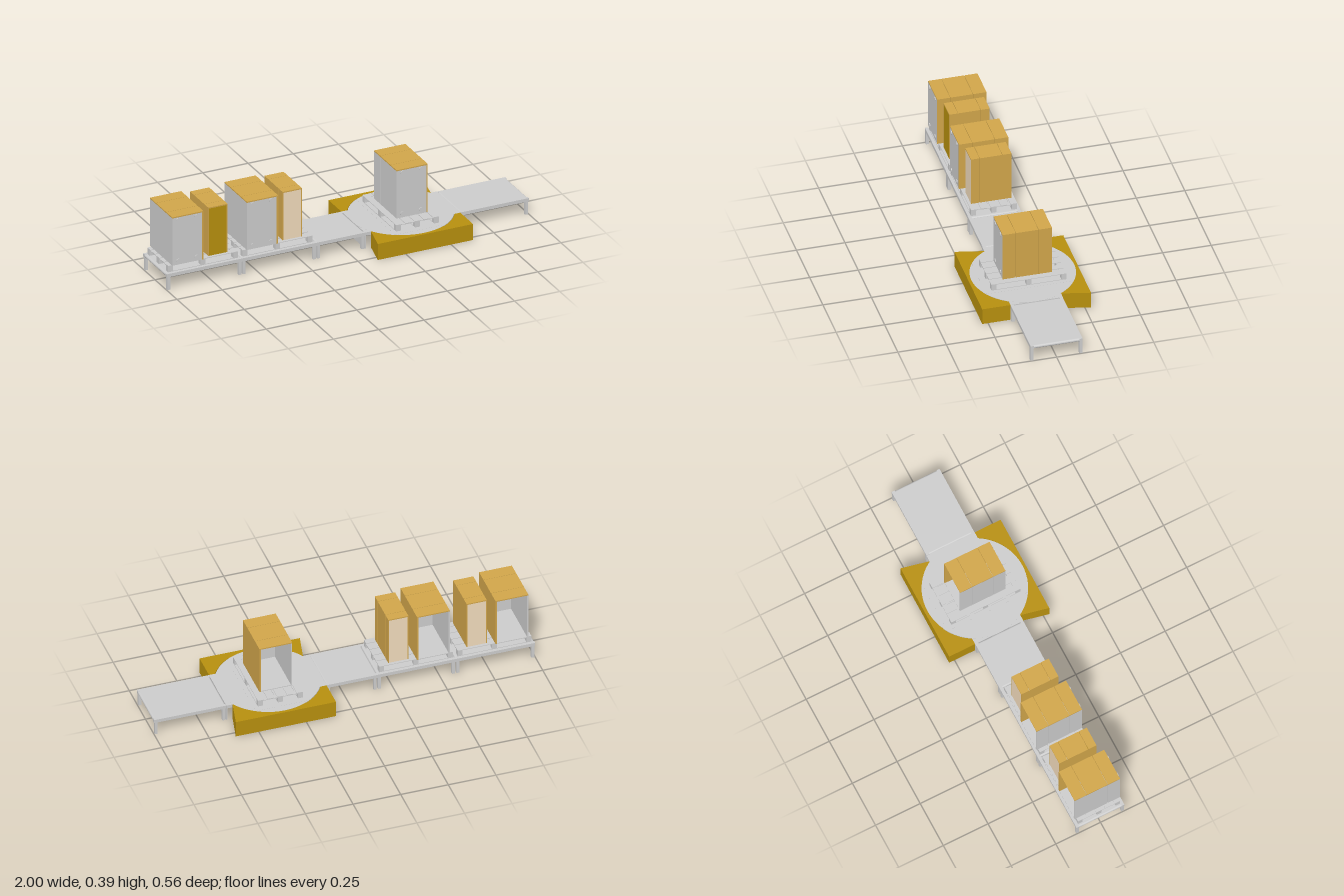
import * as THREE from 'three';

const mat = (color) => new THREE.MeshStandardMaterial({ color });
const GREY = mat(0xcccccc), WOOD = mat(0xd0a54a), YELLOW = mat(0xb68f0e), TAN = mat(0xf0dabb);

function group(name, parent) {
  const g = new THREE.Group();
  g.name = name;
  if (parent) parent.add(g);
  return g;
}

function add(parent, name, geometry, material = GREY) {
  const m = new THREE.Mesh(geometry, material);
  m.name = name;
  parent.add(m);
  return m;
}

// Box given by its min and max on each axis
function box(parent, name, [x0, x1], [y0, y1], [z0, z1], material) {
  const g = new THREE.BoxGeometry(x1 - x0, y1 - y0, z1 - z0);
  g.translate((x0 + x1) / 2, (y0 + y1) / 2, (z0 + z1) / 2);
  return add(parent, name, g, material);
}

const DECK = 0.088, RAIL = 0.07;

// Belt with round ends between two side rails, on corner legs
function conveyor(parent, x0, x1) {
  const g = group('conveyor', parent);
  const r = (DECK - RAIL) / 2, half = (x1 - x0) / 2 - r;
  const s = new THREE.Shape();
  s.absarc(half, 0, r, -Math.PI / 2, Math.PI / 2, false);
  s.absarc(-half, 0, r, Math.PI / 2, Math.PI * 1.5, false);
  const belt = new THREE.ExtrudeGeometry(s, { depth: 0.236, bevelEnabled: false, curveSegments: 10 });
  belt.translate((x0 + x1) / 2, RAIL + r, -0.118);
  add(g, 'belt', belt);
  for (const side of [-1, 1]) {
    const z = side > 0 ? [0.118, 0.134] : [-0.134, -0.118];
    box(g, 'sideRail', [x0, x1], [RAIL, DECK], z);
    box(g, 'leg', [x0 + 0.004, x0 + 0.019], [0, RAIL], z);
    box(g, 'leg', [x1 - 0.019, x1 - 0.004], [0, RAIL], z);
  }
}

// Block pallet, long along x
function pallet(parent, x, turned) {
  const g = group('pallet', parent);
  const L = 0.193, W = 0.118, b = 0.013;
  for (const z of [-W + b, 0, W - b]) {
    box(g, 'bottomBoard', [-L, L], [0.089, 0.092], [z - b, z + b]);
    for (const bx of [-L + b, 0, L - b])
      box(g, 'block', [bx - b, bx + b], [0.092, 0.118], [z - b, z + b]);
  }
  for (const bx of [-L + b, 0, L - b])
    box(g, 'crossBoard', [bx - b, bx + b], [0.118, 0.121], [-W, W]);
  for (let i = 0; i < 5; i++) {
    const z = -W + 0.016 + i * 0.051;
    box(g, 'topBoard', [-L, L], [0.121, 0.124], [z - 0.016, z + 0.016]);
  }
  g.position.x = x;
  if (turned) g.rotation.y = Math.PI / 2;
}

const Y0 = 0.125, Y1 = 0.391;
// Slab split into three strips along z with fine gaps
function strips(parent, name, x, y, depth, material) {
  const cuts = [-depth, -0.058, 0.059, depth];
  for (let i = 0; i < 3; i++)
    box(parent, name, x, y, [cuts[i] + (i ? 0.001 : 0), cuts[i + 1] - (i < 2 ? 0.001 : 0)], material);
}

// Wide cabinet: bolted grey front, open back
function cabinet(parent, x) {
  const g = group('cabinet', parent);
  const W = 0.086, D = 0.127, top = Y1 - 0.006;
  strips(g, 'topPanel', [-W, W], [top, Y1], D, WOOD);
  strips(g, 'woodSide', [W - 0.008, W], [Y0, top], D, WOOD);
  strips(g, 'greySide', [-W, -W + 0.006], [Y0, top], D, GREY);
  box(g, 'frontPanel', [-W + 0.006, W - 0.008], [Y0, top], [D - 0.006, D]);
  box(g, 'floorPanel', [-W + 0.006, W - 0.008], [Y0, Y0 + 0.004], [-D, D - 0.006]);
  for (const bx of [-0.054, 0.048]) for (const by of [0.147, 0.372]) {
    const bolt = new THREE.CylinderGeometry(0.011, 0.011, 0.004, 12);
    bolt.rotateX(Math.PI / 2);
    bolt.translate(bx, by, D + 0.002);
    add(g, 'bolt', bolt);
  }
  g.position.x = x;
}

// Narrow closed cabinet with pale ends
function narrowCabinet(parent, x, frontMaterial) {
  const g = group('narrowCabinet', parent);
  const W = 0.053, D = 0.104, top = Y1 - 0.006;
  strips(g, 'topPanel', [-W, W], [top, Y1], D, WOOD);
  strips(g, 'sidePanel', [W - 0.005, W], [Y0, top], D, WOOD);
  strips(g, 'sidePanel', [-W, -W + 0.005], [Y0, top], D, WOOD);
  box(g, 'frontPanel', [-W + 0.005, W - 0.005], [Y0, top], [D - 0.005, D], frontMaterial);
  box(g, 'backPanel', [-W + 0.005, W - 0.005], [Y0, top], [-D, -D + 0.005], TAN);
  g.position.x = x;
}

// Round turning deck between two yellow housings
function turntable(parent, x) {
  const g = group('turntable', parent);
  const W = 0.263, R = 0.267, Z = 0.135, a = Math.asin(Z / R);
  const s = new THREE.Shape();
  s.moveTo(-W, Z);
  s.absarc(0, 0, R, Math.PI - a, a, true);
  s.lineTo(W, Z);
  s.lineTo(W, 0.28);
  s.lineTo(-W, 0.28);
  s.closePath();
  const housing = new THREE.ExtrudeGeometry(s, { depth: DECK, bevelEnabled: false, curveSegments: 40 });
  housing.rotateX(Math.PI / 2);
  housing.translate(0, DECK, 0);
  for (const turn of [0, Math.PI])
    add(g, 'housing', housing, YELLOW).rotation.y = turn;

  const disc = new THREE.CylinderGeometry(R - 0.002, R - 0.002, 0.018, 64);
  disc.translate(0, 0.0795, 0);
  add(g, 'disc', disc);
  box(g, 'deck', [-W, W], [RAIL, DECK], [-Z, Z]);
  box(g, 'bed', [-0.139, 0.139], [0.08, 0.089], [-0.225, 0.225]);
  for (const side of [-1, 1]) {
    const e = [side * W, side * (W - 0.006)].sort((p, q) => p - q);
    box(g, 'endPanel', e, [0, RAIL], [-Z, Z]);
  }
  g.position.x = x;
}

export function createModel() {
  const model = group('conveyorLine');
  for (const [x0, x1] of [[-1, -0.583], [-0.583, -0.172], [-0.172, 0.095], [0.622, 1]])
    conveyor(model, x0, x1);
  turntable(model, 0.358);

  pallet(model, -0.792, false);
  pallet(model, -0.38, false);
  pallet(model, 0.357, true);

  for (const x of [-0.88, -0.468, 0.359]) cabinet(model, x);
  narrowCabinet(model, -0.703, YELLOW);
  narrowCabinet(model, -0.292, TAN);
  return model;
}
